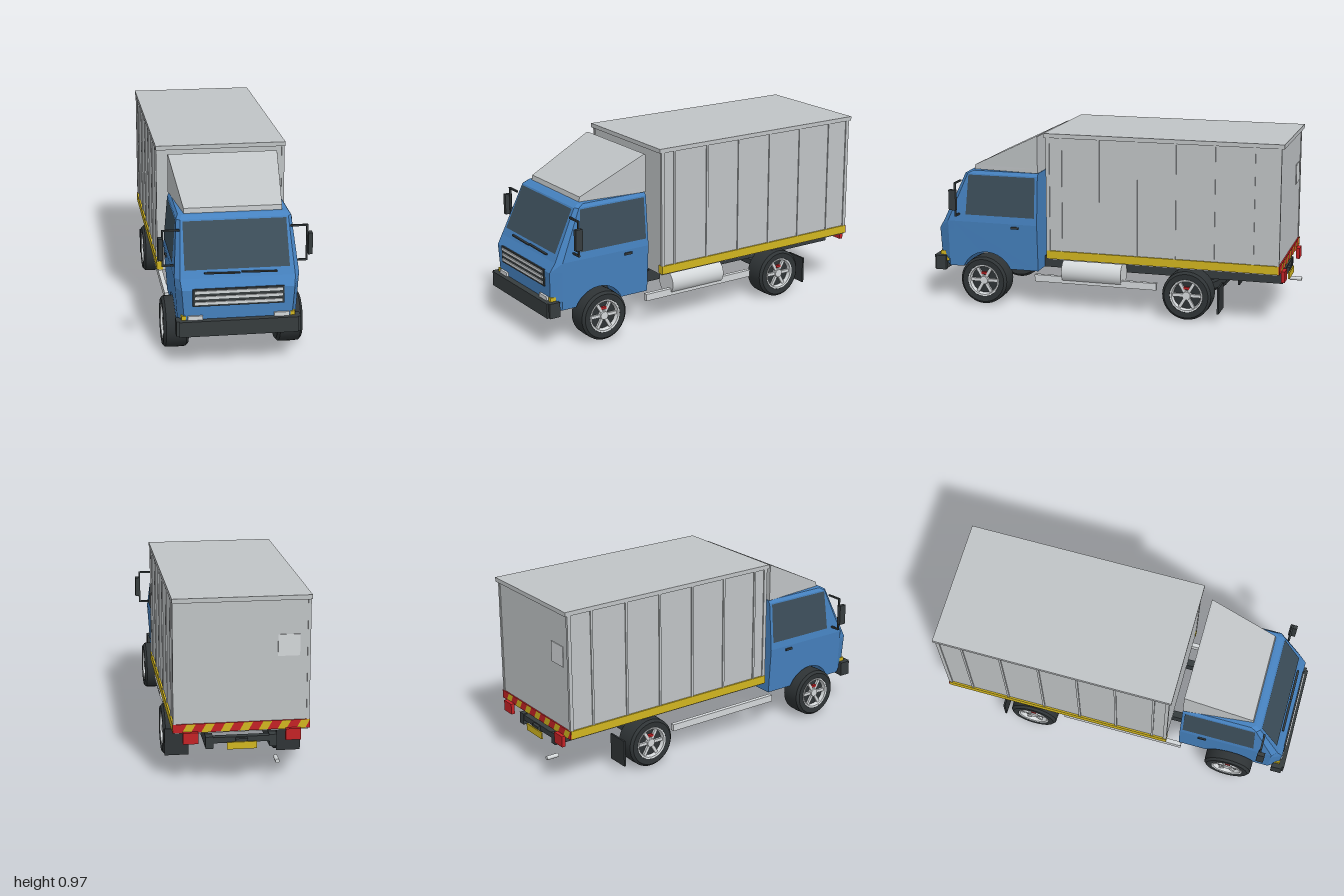
import * as THREE from 'three';
import { toCreasedNormals } from 'three/addons/utils/BufferGeometryUtils.js';

const mat = (name, color, side = THREE.FrontSide) => {
  const m = new THREE.MeshStandardMaterial({ color, side });
  m.name = name;
  return m;
};

export function createModel() {
  const blue = mat('cab blue', 0x4682c0);
  const grey = mat('box grey', 0xc0c4c6);
  const silver = mat('silver', 0xd4d8da);
  const dark = mat('chassis dark', 0x363c3e);
  const rubber = mat('tyre rubber', 0x2f3436);
  const glass = mat('glass', 0x3c4e5a, THREE.DoubleSide);
  const yellow = mat('safety yellow', 0xd2b620);
  const red = mat('signal red', 0xc42226);

  const truck = new THREE.Group();
  truck.name = 'boxTruck';
  const add = (name, geo, material, parent = truck) => {
    const m = new THREE.Mesh(geo, material);
    m.name = name;
    parent.add(m);
    return m;
  };
  // Box given by its limits on each axis
  const block = (name, material, [x0, x1], [y0, y1], [z0, z1], parent) => add(name,
    new THREE.BoxGeometry(x1 - x0, y1 - y0, z1 - z0)
      .translate((x0 + x1) / 2, (y0 + y1) / 2, (z0 + z1) / 2), material, parent);
  // The same box on both sides
  const pair = (name, material, [x0, x1], y, z) => {
    block(name + 'Left', material, [x0, x1], y, z);
    block(name + 'Right', material, [-x1, -x0], y, z);
  };
  // Closed, faceted skin over horizontal outlines: [y, [[x, z], ...]]
  const loft = (rings) => {
    const pos = [], n = rings[0][1].length;
    const p = (r, i) => [rings[r][1][i % n][0], rings[r][0], rings[r][1][i % n][1]];
    const tri = (a, b, c) => pos.push(...a, ...b, ...c);
    for (let r = 0; r < rings.length - 1; r++) {
      for (let i = 0; i < n; i++) {
        tri(p(r, i), p(r, i + 1), p(r + 1, i + 1));
        tri(p(r, i), p(r + 1, i + 1), p(r + 1, i));
      }
    }
    const top = rings.length - 1;
    for (let i = 1; i < n - 1; i++) {
      tri(p(top, 0), p(top, i), p(top, i + 1));
      tri(p(0, 0), p(0, i + 1), p(0, i));
    }
    const g = new THREE.BufferGeometry();
    g.setAttribute('position', new THREE.Float32BufferAttribute(pos, 3));
    g.computeVertexNormals();
    return g;
  };
  const quad = (a, b, c, d) => {
    const g = new THREE.BufferGeometry();
    g.setAttribute('position', new THREE.Float32BufferAttribute([a, b, c, a, c, d].flat(), 3));
    g.computeVertexNormals();
    return g;
  };

  // Cab: half width swells to the belt line, then tapers to the roof
  const halfW = (y) => (y < 0.46 ? 0.298 + (y - 0.2) * 0.065 : 0.315 - (y - 0.46) * 0.087);
  const outline = (y, w, wf, zb, zc, zf) =>
    [y, [[w, zb], [-w, zb], [-w, zc], [-wf, zf], [wf, zf], [w, zc]]];

  // Lower cab with wheel arches
  const side = new THREE.Shape();
  side.moveTo(0.39, 0.2);
  side.lineTo(0.553, 0.2);
  side.absarc(0.69, 0.14, 0.15, Math.PI - 0.413, 0.413, true);
  side.lineTo(0.88, 0.2);
  side.lineTo(0.88, 0.46);
  side.lineTo(0.39, 0.46);
  const lower = new THREE.ExtrudeGeometry(side, { depth: 2, bevelEnabled: false, curveSegments: 16 });
  lower.rotateY(-Math.PI / 2).translate(1, 0, 0);
  const lp = lower.attributes.position;
  for (let i = 0; i < lp.count; i++) lp.setX(i, lp.getX(i) * halfW(lp.getY(i)));
  lower.computeVertexNormals();
  add('lowerCab', lower, blue);
  add('cabNose', loft([[0.2, 0.268, 0.93], [0.25, 0.272, 0.965], [0.41, 0.284, 0.97], [0.46, 0.29, 0.94]]
    .map(([y, wf, zf]) => outline(y, halfW(y), wf, 0.88, 0.91, zf))), blue);
  add('upperCab', loft([
    outline(0.46, halfW(0.46), 0.29, 0.39, 0.91, 0.94),
    outline(0.728, halfW(0.728), 0.274, 0.39, 0.795, 0.814),
    outline(0.745, 0.28, 0.264, 0.39, 0.765, 0.785),
  ]), blue);

  // Windows, wipers and door handles
  const shieldZ = (y) => 0.944 - 0.47 * (y - 0.46);
  add('windshield', quad([-0.265, 0.5, shieldZ(0.5)], [0.265, 0.5, shieldZ(0.5)],
    [0.262, 0.722, shieldZ(0.722)], [-0.262, 0.722, shieldZ(0.722)]), glass);
  for (const s of [1, -1]) {
    const x = (y) => s * (halfW(y) + 0.003);
    add('sideWindow', quad([x(0.5), 0.5, 0.805], [x(0.5), 0.5, 0.405],
      [x(0.722), 0.722, 0.405], [x(0.722), 0.722, 0.79]), glass);
  }
  for (const x of [-0.078, 0.108]) {
    const w = add('wiper', new THREE.BoxGeometry(0.18, 0.007, 0.012), dark);
    w.position.set(x, 0.484, 0.938);
    w.rotation.z = -0.025;
  }
  pair('doorHandle', dark, [0.31, 0.322], [0.434, 0.446], [0.495, 0.54]);

  // Grille, lamps and bumper
  block('grille', dark, [-0.23, 0.23], [0.325, 0.416], [0.95, 0.975]);
  for (const y of [0.343, 0.372, 0.401]) {
    block('grilleSlat', silver, [-0.22, 0.22], [y - 0.007, y + 0.007], [0.97, 0.981]);
  }
  pair('headlamp', silver, [0.18, 0.256], [0.22, 0.276], [0.93, 0.978]);
  pair('turnSignal', yellow, [0.264, 0.287], [0.22, 0.276], [0.9, 0.97]);
  block('bumper', dark, [-0.3, 0.3], [0.175, 0.255], [0.935, 1]);
  pair('bumperEnd', dark, [0.295, 0.314], [0.175, 0.255], [0.93, 0.99]);

  // Mirrors on bracket frames
  for (const s of [1, -1]) {
    const g = new THREE.Group();
    g.name = s > 0 ? 'mirrorLeft' : 'mirrorRight';
    truck.add(g);
    const bar = (x0, x1, y0, y1) =>
      block('mirrorArm', dark, s > 0 ? [x0, x1] : [-x1, -x0], [y0, y1], [0.838, 0.848], g);
    bar(0.28, 0.37, 0.68, 0.689);
    bar(0.3, 0.37, 0.497, 0.506);
    bar(0.361, 0.37, 0.497, 0.689);
    block('mirrorHousing', dark, s > 0 ? [0.368, 0.39] : [-0.39, -0.368], [0.537, 0.65], [0.832, 0.872], g);
  }

  // Roof air deflector
  add('airDeflector', loft([[0.747, 0.25, 0.77], [0.772, 0.25, 0.765], [0.95, 0.288, 0.4]]
    .map(([y, wf, zf]) => [y, [[0.29, 0.39], [-0.29, 0.39], [-wf, zf], [wf, zf]]])), grey);

  // Cargo box with roof cap, ribs and corner posts
  block('cargoBox', grey, [-0.337, 0.337], [0.283, 0.96], [-0.948, 0.32]);
  block('cargoRoof', grey, [-0.346, 0.346], [0.957, 0.98], [-0.966, 0.335]);
  for (let i = 0; i < 6; i++) {
    const z = 0.24 - i * 0.21;
    pair('sideRib', grey, [0.335, 0.343], [0.335, 0.957], [z - 0.006, z + 0.006]);
  }
  for (const z of [0.314, -0.942]) {
    pair('cornerPost', grey, [0.328, 0.343], [0.335, 0.957], [z - 0.01, z + 0.01]);
  }
  pair('sideBand', yellow, [0.312, 0.346], [0.29, 0.335], [-0.95, 0.324]);
  block('rearPanel', silver, [-0.29, -0.18], [0.67, 0.78], [-0.952, -0.945]);

  // Striped rear warning strip
  block('rearStrip', red, [-0.345, 0.345], [0.29, 0.335], [-0.955, -0.945]);
  for (let i = 0; i < 7; i++) {
    const x = -0.3 + i * 0.096;
    const s = new THREE.Shape([[x, 0.29], [x + 0.045, 0.29], [x + 0.07, 0.335], [x + 0.025, 0.335]]
      .map(([a, b]) => new THREE.Vector2(Math.min(a, 0.345), b)));
    add('warningStripe', new THREE.ShapeGeometry(s).rotateY(Math.PI).translate(0, 0, -0.957), yellow);
  }

  // Chassis, rear lamps and plate
  pair('frameRail', dark, [0.142, 0.18], [0.198, 0.26], [-0.948, 0.6]);
  pair('railSpacer', dark, [0.142, 0.18], [0.255, 0.286], [-0.9, 0.3]);
  block('rearCrossmember', dark, [-0.15, 0.15], [0.225, 0.255], [-0.945, -0.91]);
  block('numberPlate', yellow, [-0.075, 0.075], [0.198, 0.235], [-0.968, -0.96]);
  block('plateBracket', dark, [-0.03, 0.03], [0.215, 0.25], [-0.962, -0.93]);
  pair('tailLamp', red, [0.22, 0.296], [0.237, 0.296], [-0.976, -0.956]);
  pair('sideGuard', silver, [0.29, 0.314], [0.147, 0.185], [-0.285, 0.405]);
  add('fuelTank', toCreasedNormals(new THREE.CylinderGeometry(0.067, 0.067, 0.335, 32)
    .rotateX(Math.PI / 2).translate(0.265, 0.21, 0.078), 0.6), silver);
  add('exhaustPipe', new THREE.CylinderGeometry(0.011, 0.011, 0.068, 16)
    .rotateX(Math.PI / 2).translate(-0.175, 0.136, -0.966), silver);
  pair('mudflap', rubber, [0.232, 0.358], [0.055, 0.2], [-0.638, -0.628]);

  // Wheels: the axis is local y, the outer face is +y
  const lathe = (pts) => toCreasedNormals(
    new THREE.LatheGeometry(pts.map(([r, y]) => new THREE.Vector2(r, y)), 40), 0.6);
  const tyreGeo = lathe([[0, -0.03], [0.075, -0.03], [0.085, -0.06], [0.12, -0.065], [0.133, -0.052],
    [0.135, 0], [0.133, 0.052], [0.12, 0.065], [0.09, 0.063], [0.086, 0.035], [0, 0.035]]);
  const rimGeo = lathe([[0.089, 0.04], [0.089, 0.064], [0.08, 0.062], [0.074, 0.04]]);
  for (const z of [0.69, -0.46]) {
    for (const s of [1, -1]) {
      const w = new THREE.Group();
      w.name = (z > 0 ? 'front' : 'rear') + 'Wheel' + (s > 0 ? 'Left' : 'Right');
      w.position.set(s * 0.295, 0.141, z);
      w.rotation.z = -s * Math.PI / 2;
      truck.add(w);
      add('tyre', tyreGeo, rubber, w);
      add('rim', rimGeo, silver, w);
      add('hub', new THREE.CylinderGeometry(0.022, 0.026, 0.028, 20).translate(0, 0.045, 0), silver, w);
      for (let k = 0; k < 6; k++) {
        add('spoke', new THREE.BoxGeometry(0.07, 0.012, 0.017).translate(0.045, 0.046, 0), silver, w)
          .rotation.y = k * Math.PI / 3 + Math.PI / 6;
      }
      block('hubMark', red, s > 0 ? [-0.046, -0.034] : [0.034, 0.046], [0.04, 0.055], [-0.015, 0.015], w);
    }
    block('axle', dark, [-0.25, 0.25], [0.125, 0.157], [z - 0.016, z + 0.016]);
  }
  return truck;
}
